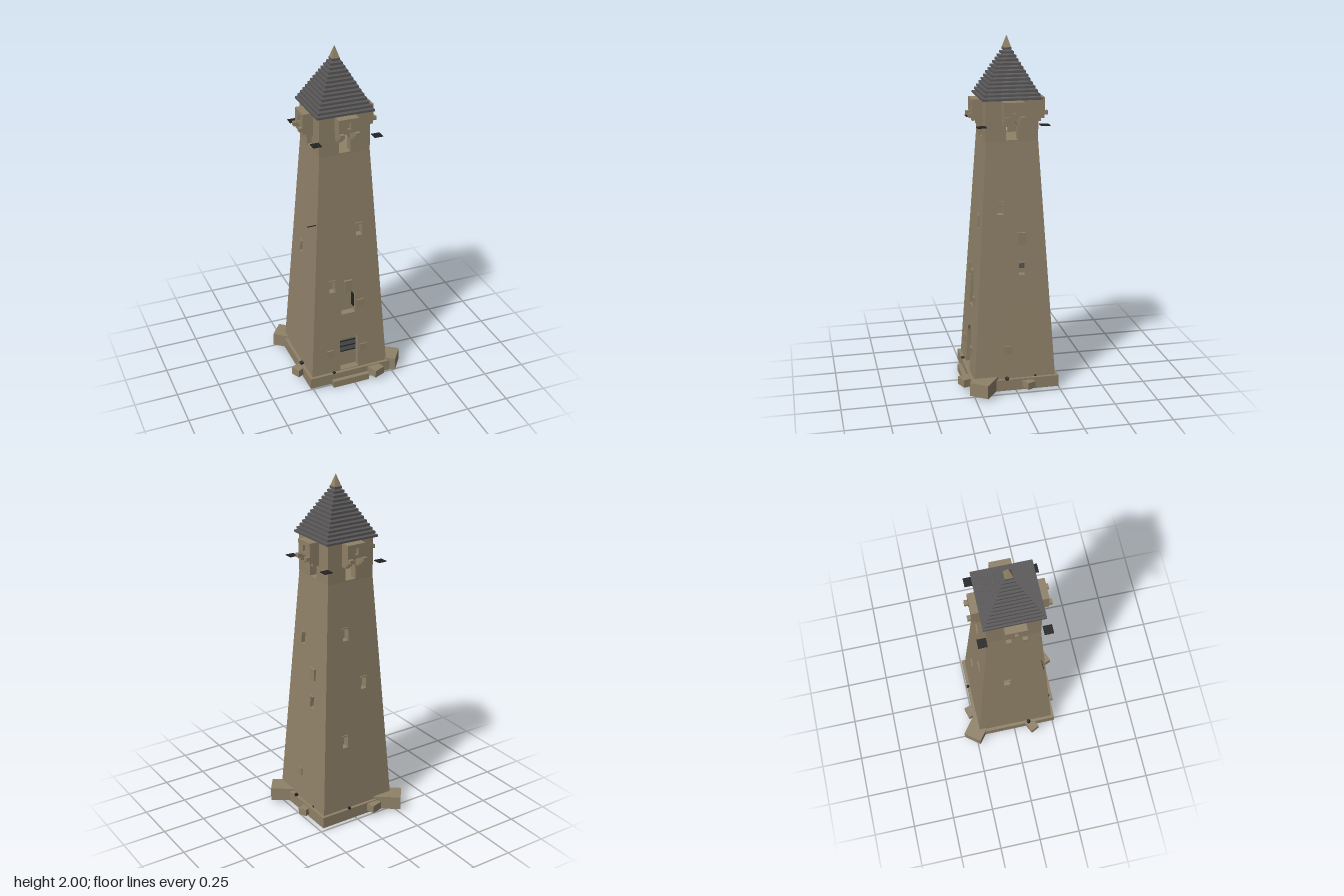
import * as THREE from 'three';

const mat = (name, color) => {
  const m = new THREE.MeshStandardMaterial({ color });
  m.name = name;
  return m;
};

export function createModel() {
  const stone = mat('stone', 0x908269);
  const slate = mat('slate', 0x5a5858);
  const iron = mat('dark iron', 0x222222);

  const root = new THREE.Group();
  root.name = 'stoneTower';
  const tower = new THREE.Group();
  tower.name = 'tower';
  tower.position.set(-0.018, 0, 0.008);
  root.add(tower);

  const add = (parent, name, geo, material, x = 0, y = 0, z = 0) => {
    const m = new THREE.Mesh(geo, material);
    m.name = name;
    m.position.set(x, y, z);
    parent.add(m);
    return m;
  };
  const box = (parent, name, material, w, h, d, x, y, z) =>
    add(parent, name, new THREE.BoxGeometry(w, h, d), material, x, y, z);
  const flat = (geo) => {
    const g = geo.index ? geo.toNonIndexed() : geo;
    g.computeVertexNormals();
    return g;
  };
  // Square frustum given by half widths
  const frustum = (top, bottom, height) =>
    flat(new THREE.CylinderGeometry(top * Math.SQRT2, bottom * Math.SQRT2, height, 4).rotateY(Math.PI / 4));

  // Wall outline: tapered shaft, then upright belfry
  const Y0 = 0.075, YB = 1.44, YT = 1.665, TOP = 0.146, THICK = 0.045;
  const half = (y) => TOP + 0.0647 * Math.max(0, YB - y);

  const rectHole = (x, y, w, h) => new THREE.Path([
    [x - w / 2, y - h / 2], [x + w / 2, y - h / 2], [x + w / 2, y + h / 2], [x - w / 2, y + h / 2],
  ].map((p) => new THREE.Vector2(...p)));
  const archHole = (x, y0, w, top) => {
    const p = new THREE.Path();
    p.moveTo(x - w / 2, y0);
    p.lineTo(x + w / 2, y0);
    p.lineTo(x + w / 2, top - w / 2);
    p.absarc(x, top - w / 2, w / 2, 0, Math.PI, false);
    p.closePath();
    return p;
  };
  // Wall slab that leans with the taper and is mitred at the corners
  const wall = (y0, y1, holes) => {
    const s = new THREE.Shape([
      [-half(y0), y0], [half(y0), y0], [half(y1), y1], [-half(y1), y1],
    ].map((p) => new THREE.Vector2(...p)));
    s.holes.push(...holes);
    const g = new THREE.ExtrudeGeometry(s, { depth: THICK, bevelEnabled: false, curveSegments: 10 });
    const p = g.attributes.position;
    for (let i = 0; i < p.count; i++) {
      const z = p.getZ(i) - THICK + half(p.getY(i));
      p.setXYZ(i, Math.max(-z, Math.min(z, p.getX(i))), p.getY(i), z);
    }
    return flat(g);
  };

  // Features per side: windows and stones as [x, y], x along the wall
  const sides = [
    { name: 'front', turn: 0, windows: [[-0.094, 0.645], [0.076, 0.975]], stones: [[-0.118, 0.21], [0.088, 0.21], [0.076, 0.51]] },
    { name: 'right', turn: 1, windows: [[-0.072, 1.07], [0.048, 0.72]], stones: [[-0.038, 0.25]] },
    { name: 'back', turn: 2, windows: [[-0.044, 1.14], [0.065, 0.83], [-0.071, 0.5]], stones: [] },
    { name: 'left', turn: 3, windows: [[-0.044, 0.807]], stones: [] },
  ];

  for (const side of sides) {
    const g = new THREE.Group();
    g.name = side.name + 'Side';
    g.rotation.y = side.turn * Math.PI / 2;
    tower.add(g);

    const holes = side.windows.map(([x, y]) => rectHole(x, y, 0.036, 0.07));
    if (side.turn === 0) {
      holes.push(archHole(0, 0.085, 0.112, 0.33));
      holes.push(new THREE.Path([
        [-0.043, 0.455], [0.043, 0.455], [0.043, 0.58], [0.023, 0.6], [0.023, 0.672], [-0.023, 0.672], [-0.023, 0.6], [-0.043, 0.58],
      ].map((p) => new THREE.Vector2(...p))));
    }
    add(g, 'shaftWall', wall(Y0, YB, holes), stone);
    add(g, 'belfryWall', wall(YB, YT, [archHole(0, 1.447, 0.066, 1.55)]), stone);

    for (const [x, y] of side.windows) box(g, 'lintel', stone, 0.042, 0.008, 0.014, x, y + 0.039, half(y + 0.039));
    for (const [x, y] of side.stones) box(g, 'facingStone', stone, 0.044, 0.045, 0.012, x, y, half(y));

    // Projecting gallery on stepped corbels
    const bay = new THREE.Shape([
      [-0.058, 1.583], [0.058, 1.583], [0.058, 1.662], [-0.058, 1.662],
    ].map((p) => new THREE.Vector2(...p)));
    bay.holes.push(rectHole(0, 1.622, 0.02, 0.036));
    add(g, 'galleryFront', new THREE.ExtrudeGeometry(bay, { depth: 0.02, bevelEnabled: false }), stone, 0, 0, 0.184);
    box(g, 'galleryBody', stone, 0.116, 0.079, 0.05, 0, 1.6225, 0.161);
    for (const sx of [-1, 1]) {
      [[1.574, 0.224, 0.022], [1.554, 0.204, 0.018], [1.537, 0.183, 0.016]].forEach(([y, reach, h]) =>
        box(g, 'corbel', stone, 0.026, h, reach - 0.12, sx * 0.043, y, (reach + 0.12) / 2));
    }

    // Dark plate floating off each corner
    box(g, 'cornerPlate', iron, 0.05, 0.004, 0.05, 0.175, 1.53, 0.175);

    if (side.turn === 0) {
      box(g, 'doorGrille', slate, 0.108, 0.08, 0.008, 0, 0.22, half(0.22) - 0.038);
      for (let i = 0; i < 3; i++)
        box(g, 'grilleBar', iron, 0.108, 0.004, 0.006, 0, 0.185 + i * 0.035, half(0.22) - 0.032);
      box(g, 'doorHinge', iron, 0.008, 0.08, 0.03, 0.036, 0.53, half(0.53) - 0.02);
      box(g, 'upperLintel', stone, 0.046, 0.07, 0.012, 0, 0.637, half(0.637) + 0.004);
    }
    if (side.turn === 1) {
      box(g, 'shutter', stone, 0.048, 0.07, 0.012, 0.048, 0.895, half(0.895) + 0.005);
      box(g, 'windowGrille', slate, 0.034, 0.035, 0.008, 0.048, 0.737, half(0.72) - 0.02);
    }
    if (side.turn === 3) box(g, 'ironRod', iron, 0.004, 0.004, 0.07, 0.155, 1.04, 0.19);
  }

  // Solid core behind the windows, also the belfry floor
  const coreTop = 1.442;
  add(tower, 'core', frustum(half(coreTop) - 0.04, half(Y0) - 0.04, coreTop - Y0), stone, 0, (coreTop + Y0) / 2, 0);

  // Stepped slate roof and finial
  const roof = new THREE.Group();
  roof.name = 'roof';
  tower.add(roof);
  const N = 14;
  for (let i = 0; i < N; i++) {
    const w = 2 * (0.165 - i * 0.0109);
    box(roof, 'slateCourse', slate, w, 0.012, w, 0, 1.672 + i * 0.0197, 0);
  }
  add(roof, 'roofCore', frustum(0.006, 0.148, 0.27), slate, 0, 1.8, 0);
  add(roof, 'finial', frustum(0.0005, 0.022, 0.065), stone, 0, 1.9675, 0);

  // Plinth and front step
  box(tower, 'plinth', stone, 0.502, 0.067, 0.502, 0, 0.0475, 0);
  box(root, 'frontStep', stone, 0.225, 0.042, 0.13, -0.022, 0.021, 0.218);

  // Skewed footing blocks: middle of the outer end, inward direction, length, width, heights
  const block = (x, z, dx, dz, len, w, y0, y1) => {
    const b = box(root, 'footingBlock', stone, len, y1 - y0, w, x + dx * len / 2, (y0 + y1) / 2, z + dz * len / 2);
    b.rotation.y = Math.atan2(-dz, dx);
  };
  block(-0.292, -0.28, 0.79, 0.61, 0.16, 0.113, 0.017, 0.096);
  block(0.293, 0.233, -0.81, -0.58, 0.16, 0.113, 0.017, 0.096);
  block(-0.12, -0.281, 0.26, 0.966, 0.1, 0.068, 0.03, 0.076);
  block(0.147, 0.31, -0.36, -0.93, 0.1, 0.068, 0.03, 0.076);
  block(0.271, -0.078, -0.89, 0.45, 0.1, 0.05, 0.03, 0.07);
  block(-0.315, 0.125, 0.9, -0.44, 0.1, 0.055, 0.03, 0.076);

  // Small dark rocks on the plinth
  for (const [x, z, r] of [[0.05, -0.24, 0.011], [0.228, 0.058, 0.012], [-0.263, 0.092, 0.014], [-0.12, 0.253, 0.01], [0.215, -0.11, 0.007]])
    add(root, 'rock', new THREE.DodecahedronGeometry(r), iron, x, 0.086, z);

  return root;
}
